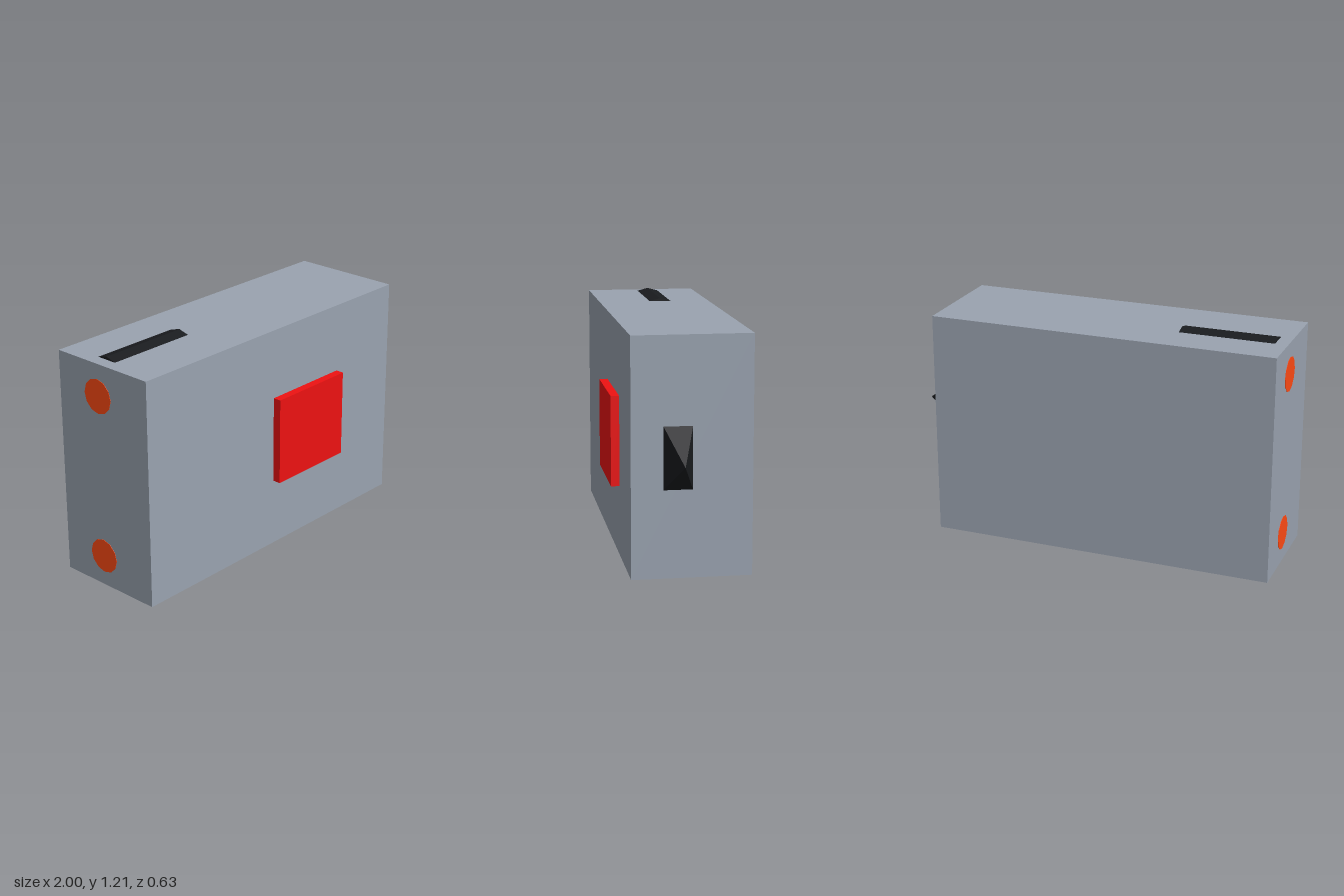
import * as THREE from 'three';

const mat = (color) => new THREE.MeshStandardMaterial({ color, flatShading: true });

export function createModel() {
  const model = new THREE.Group();
  const grey = mat(0x9aa3b0), red = mat(0xee1212), black = mat(0x1a1c1f), orange = mat(0xff4a14);

  const add = (name, geometry, material, x, y, z) => {
    const mesh = new THREE.Mesh(geometry, material);
    mesh.name = name;
    mesh.position.set(x, y, z);
    model.add(mesh);
    return mesh;
  };

  // Main slab and the raised panel on its front
  add('body', new THREE.BoxGeometry(1.79, 1.17, 0.585), grey, -0.105, 0.605, -0.02);
  add('frontPanel', new THREE.BoxGeometry(0.49, 0.455, 0.055), red, 0.12, 0.603, 0.2875);

  // Four-sided pointed nose
  const nose = new THREE.ConeGeometry(Math.SQRT1_2, 1, 4);
  nose.rotateY(Math.PI / 4).rotateZ(-Math.PI / 2).scale(0.22, 0.32, 0.147);
  add('nose', nose, black, 0.89, 0.605, 0.047);

  // Twelve-sided engines sunk in the body, their ridges showing above and below
  const engine = new THREE.CylinderGeometry(0.18, 0.18, 0.485, 12).rotateZ(Math.PI / 2);
  engine.rotateX(Math.PI / 2);
  // Exhaust discs set in the tail face
  const exhaust = new THREE.CylinderGeometry(0.088, 0.088, 0.07, 12).rotateZ(Math.PI / 2);
  for (const [side, y] of [['upper', 1.025], ['lower', 0.18]]) {
    add(side + 'Engine', engine, black, -0.6925, y, -0.053);
    add(side + 'Exhaust', exhaust, orange, -0.967, y, -0.053);
  }
  return model;
}
